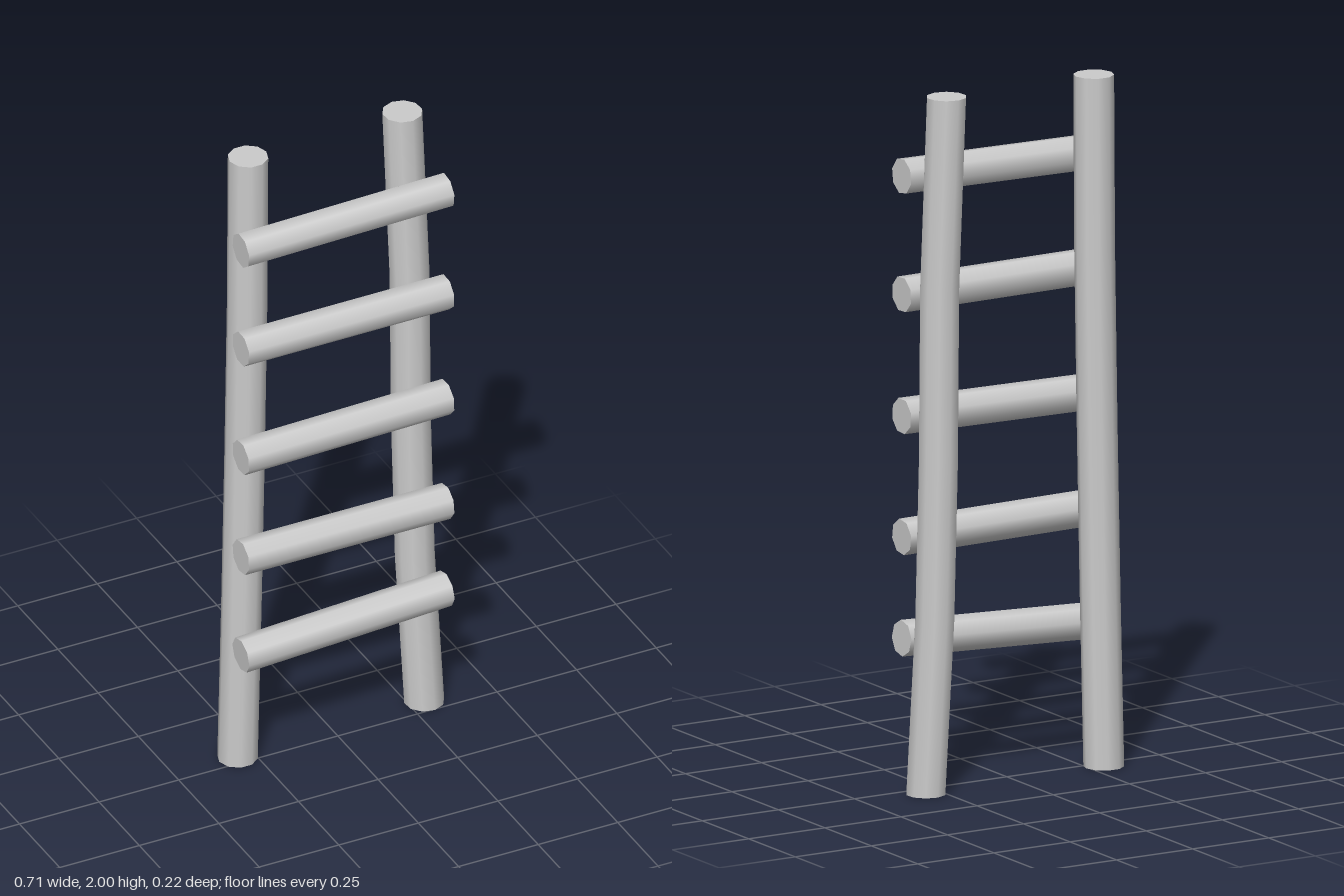
import * as THREE from 'three';

const material = new THREE.MeshStandardMaterial({ color: 0xcccccc });

// Upright pole: a ten-sided cylinder whose rings follow a slightly bent line.
// Each point is [x, y, z], from the ground up.
function makePole(name, points, turn) {
  const geometry = new THREE.CylinderGeometry(0.0575, 0.0575, 2, 10, points.length - 1, false, turn);
  const position = geometry.attributes.position;
  const last = points.length - 1;
  for (let i = 0; i < position.count; i++) {
    const ring = Math.round(((position.getY(i) + 1) / 2) * last);
    const [x, y, z] = points[ring];
    position.setXYZ(i, position.getX(i) + x, y, position.getZ(i) + z);
  }
  const mesh = new THREE.Mesh(geometry, material);
  mesh.name = name;
  return mesh;
}

// Rung: an eight-sided cylinder laid between two end points.
function makeRung(name, start, end, turn) {
  const a = new THREE.Vector3(...start);
  const b = new THREE.Vector3(...end);
  const direction = b.clone().sub(a);
  const geometry = new THREE.CylinderGeometry(0.052, 0.052, direction.length(), 8, 1, false, turn);
  const mesh = new THREE.Mesh(geometry, material);
  mesh.quaternion.setFromUnitVectors(new THREE.Vector3(0, 1, 0), direction.normalize());
  mesh.position.copy(a).add(b).multiplyScalar(0.5);
  mesh.name = name;
  return mesh;
}

export function createModel() {
  const ladder = new THREE.Group();
  ladder.name = 'ladder';

  // Two bent poles
  ladder.add(makePole('rightPole', [
    [-0.299, 0, -0.032], [-0.287, 0.5, -0.032], [-0.277, 1, -0.032],
    [-0.269, 1.5, -0.032], [-0.266, 2, -0.032],
  ], Math.PI / 10));
  ladder.add(makePole('leftPole', [
    [0.298, 0, -0.053], [0.268, 0.5, -0.052], [0.255, 0.95, -0.05],
    [0.249, 1.45, -0.047], [0.224, 2, -0.043],
  ], 0.08));

  // Rungs fixed across the front: height at the right end, height at the left end
  const rungs = [[0.4, 0.43], [0.728, 0.722], [1.062, 1.071], [1.425, 1.422], [1.754, 1.763]];
  rungs.forEach(([yRight, yLeft], i) => {
    ladder.add(makeRung(`rung${i + 1}`, [-0.332, yRight, 0.054], [0.316, yLeft, 0.048], 0.15 + i * 0.1));
  });

  return ladder;
}
